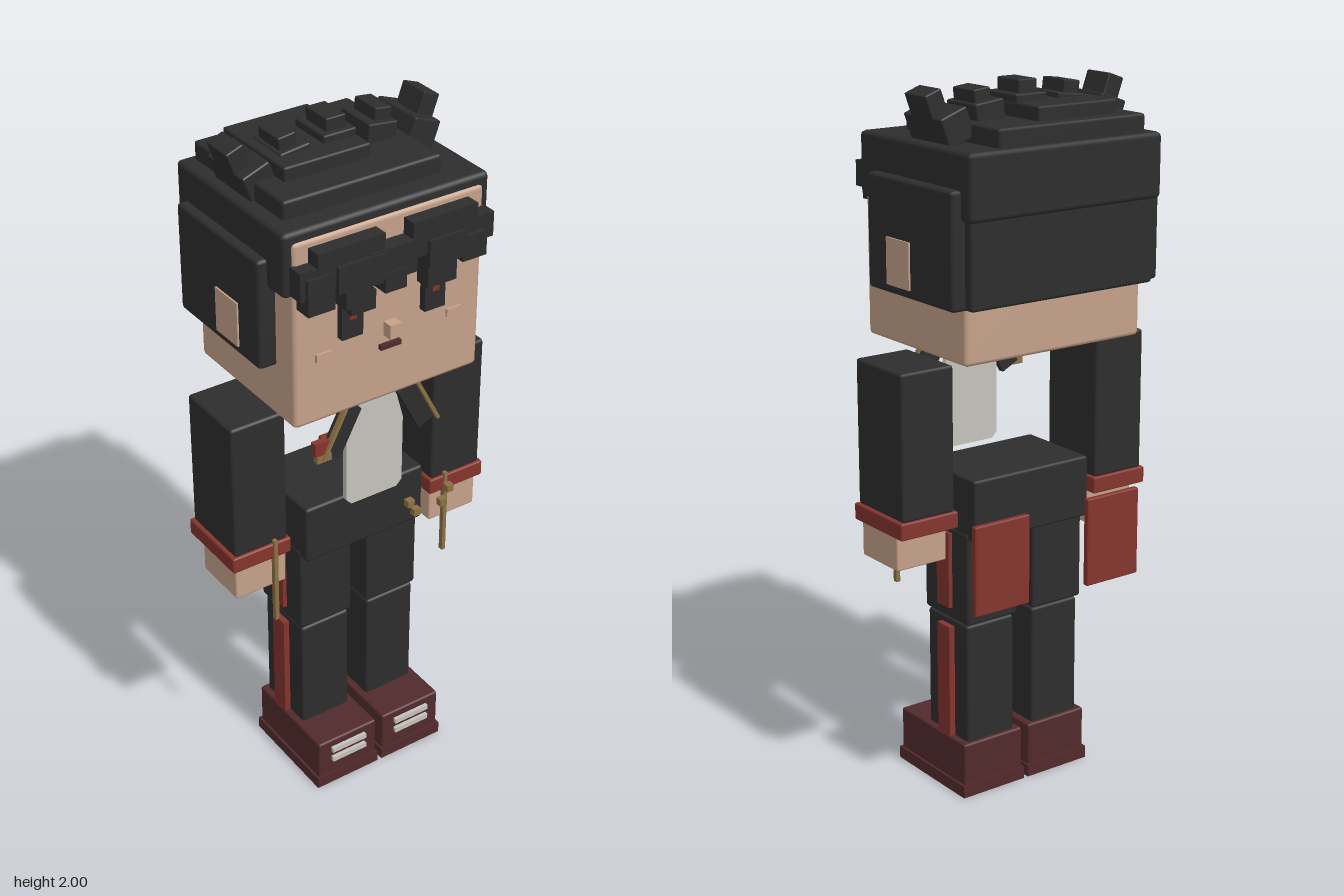
import * as THREE from 'three';
import { RoundedBoxGeometry } from 'three/addons/geometries/RoundedBoxGeometry.js';

const mat = (name, color) => {
  const m = new THREE.MeshStandardMaterial({ color });
  m.name = name;
  return m;
};

export function createModel() {
  const root = new THREE.Group();
  root.name = 'blockFigure';
  const black = mat('charcoal', 0x2d2d2d);
  const skin = mat('skin', 0xc5a189);
  const red = mat('brick red', 0x84342d);
  const maroon = mat('dark maroon', 0x522a2c);
  const white = mat('off white', 0xc4c3bd);
  const gold = mat('old gold', 0x8a7143);

  // Box from its limits on each axis, bevelled when r > 0
  const box = (name, m, [x0, x1], [y0, y1], [z0, z1], r = 0) => {
    const s = [x1 - x0, y1 - y0, z1 - z0];
    const geo = r ? new RoundedBoxGeometry(...s, 1, r) : new THREE.BoxGeometry(...s);
    const mesh = new THREE.Mesh(geo, m);
    mesh.name = name;
    mesh.position.set((x0 + x1) / 2, (y0 + y1) / 2, (z0 + z1) / 2);
    root.add(mesh);
    return mesh;
  };
  // Same box on both sides; x limits are given for the +x side
  const pair = (name, m, [x0, x1], y, z, r = 0, tilt = 0) => {
    const l = box(name + 'Left', m, [x0, x1], y, z, r);
    const rt = box(name + 'Right', m, [-x1, -x0], y, z, r);
    l.rotation.z = tilt;
    rt.rotation.z = -tilt;
  };

  // Head and face
  box('head', skin, [-0.29, 0.29], [1.297, 1.83], [-0.23, 0.228], 0.012);
  box('neck', skin, [-0.095, 0.095], [1.27, 1.3], [-0.085, 0.08]);
  box('nose', skin, [-0.018, 0.018], [1.49, 1.53], [0.22, 0.26]);
  box('mouth', maroon, [-0.032, 0.032], [1.452, 1.466], [0.225, 0.24]);
  pair('cheek', skin, [0.18, 0.227], [1.48, 1.502], [0.225, 0.236]);
  pair('ear', skin, [0.29, 0.345], [1.475, 1.602], [-0.055, 0.05]);

  // Main hair masses
  box('hairCap', black, [-0.312, 0.312], [1.68, 1.857], [-0.285, 0.22], 0.013);
  box('hairBack', black, [-0.3, 0.3], [1.45, 1.7], [-0.27, -0.22], 0.01);
  pair('hairSide', black, [0.28, 0.34], [1.45, 1.76], [-0.243, 0.145], 0.01);
  box('hairLayerLow', black, [-0.268, 0.208], [1.85, 1.907], [-0.265, 0.155], 0.008);
  box('hairLayerHigh', black, [-0.207, 0.052], [1.9, 1.945], [-0.222, 0.067], 0.006);

  // Spiky tufts on the crown
  pair('outerTuftBase', black, [0.205, 0.29], [1.855, 1.94], [-0.145, 0.025], 0.005, -0.35);
  pair('outerTuftTip', black, [0.26, 0.312], [1.915, 1.99], [-0.108, -0.012], 0.004, -0.35);
  pair('innerTuftBase', black, [0.085, 0.175], [1.88, 1.955], [-0.125, 0.007], 0.005, -0.12);
  pair('innerTuftTip', black, [0.118, 0.17], [1.93, 1.987], [-0.108, -0.012], 0.004, -0.12);
  box('middleTuftBase', black, [-0.05, 0.05], [1.9, 1.965], [-0.125, 0.007], 0.005);
  box('middleTuftTip', black, [-0.03, 0.03], [1.95, 2.0], [-0.108, -0.012], 0.004);

  // Fringe locks: x limits, y limits, front depth
  [
    [-0.295, -0.2, 1.69, 1.77, 0.268], [-0.28, -0.2, 1.65, 1.75, 0.28],
    [-0.245, -0.045, 1.71, 1.81, 0.27], [-0.19, -0.05, 1.685, 1.76, 0.28],
    [-0.165, -0.085, 1.63, 1.71, 0.275], [-0.145, -0.07, 1.605, 1.66, 0.268],
    [-0.09, 0.05, 1.675, 1.765, 0.275], [-0.05, 0.015, 1.645, 1.7, 0.28],
    [0.04, 0.24, 1.71, 1.81, 0.27], [0.085, 0.2, 1.675, 1.75, 0.28],
    [0.085, 0.175, 1.615, 1.7, 0.275],
    [0.18, 0.294, 1.7, 1.77, 0.268], [0.19, 0.265, 1.66, 1.73, 0.28],
  ].forEach(([x0, x1, y0, y1, z], i) =>
    box('fringeLock' + (i + 1), black, [x0, x1], [y0, y1], [0.21, z]));

  // Eyes
  pair('eye', black, [0.096, 0.16], [1.53, 1.625], [0.22, 0.25]);
  pair('eyeGlint', red, [0.118, 0.138], [1.585, 1.603], [0.245, 0.254]);

  // Shirt front with clipped corners
  const s = new THREE.Shape([
    [-0.075, 0.947], [0.075, 0.947], [0.092, 0.965], [0.092, 1.17],
    [0.06, 1.285], [-0.06, 1.285], [-0.092, 1.17], [-0.092, 0.965],
  ].map(([x, y]) => new THREE.Vector2(x, y)));
  const shirt = new THREE.Mesh(
    new THREE.ExtrudeGeometry(s, { depth: 0.016, bevelEnabled: false }), white);
  shirt.name = 'shirtFront';
  shirt.position.z = 0.155;
  root.add(shirt);

  // Lapels, trim and chest badge
  pair('lapel', black, [0.092, 0.15], [1.135, 1.285], [0.175, 0.195], 0, 0.48);
  pair('lapelTrim', gold, [0.146, 0.156], [1.14, 1.295], [0.192, 0.207], 0, 0.48);
  box('badge', red, [-0.21, -0.165], [1.165, 1.205], [0.18, 0.2]);
  box('badgeBar', gold, [-0.205, -0.16], [1.143, 1.165], [0.182, 0.202]);

  // Arms
  pair('sleeve', black, [0.243, 0.41], [0.863, 1.272], [-0.108, 0.108], 0.008);
  pair('cuff', red, [0.235, 0.42], [0.817, 0.865], [-0.115, 0.115], 0.005);
  pair('hand', skin, [0.245, 0.405], [0.715, 0.82], [-0.07, 0.1], 0.005);

  // Hips, coat tails and gold details
  box('hips', black, [-0.195, 0.195], [0.768, 0.945], [-0.135, 0.13], 0.008);
  pair('coatTail', red, [0.1, 0.28], [0.613, 0.867], [-0.255, -0.236], 0.004);
  pair('hangingTrim', gold, [0.281, 0.293], [0.605, 0.877], [0.105, 0.12]);
  [[0.12, 0.872], [0.142, 0.835], [0.233, 0.832], [0.255, 0.872]].forEach(([x, y], i) =>
    box('chainBead' + (i + 1), gold, [x - 0.011, x + 0.011], [y - 0.011, y + 0.011], [0.163, 0.183]));

  // Legs
  pair('thigh', black, [0.027, 0.198], [0.515, 0.785], [-0.103, 0.102], 0.008);
  pair('shin', black, [0.033, 0.192], [0.15, 0.51], [-0.093, 0.097], 0.008);
  pair('thighStripe', red, [0.195, 0.21], [0.55, 0.77], [-0.03, 0.028]);
  pair('shinStripe', red, [0.188, 0.21], [0.16, 0.492], [-0.03, 0.028]);

  // Shoes
  pair('shoe', maroon, [0.012, 0.212], [0.02, 0.16], [-0.105, 0.211], 0.006);
  pair('sole', maroon, [0.007, 0.219], [0, 0.036], [-0.11, 0.215]);
  for (const y of [0.092, 0.127])
    pair('lace', white, [0.053, 0.17], [y - 0.008, y + 0.008], [0.205, 0.222]);

  return root;
}
